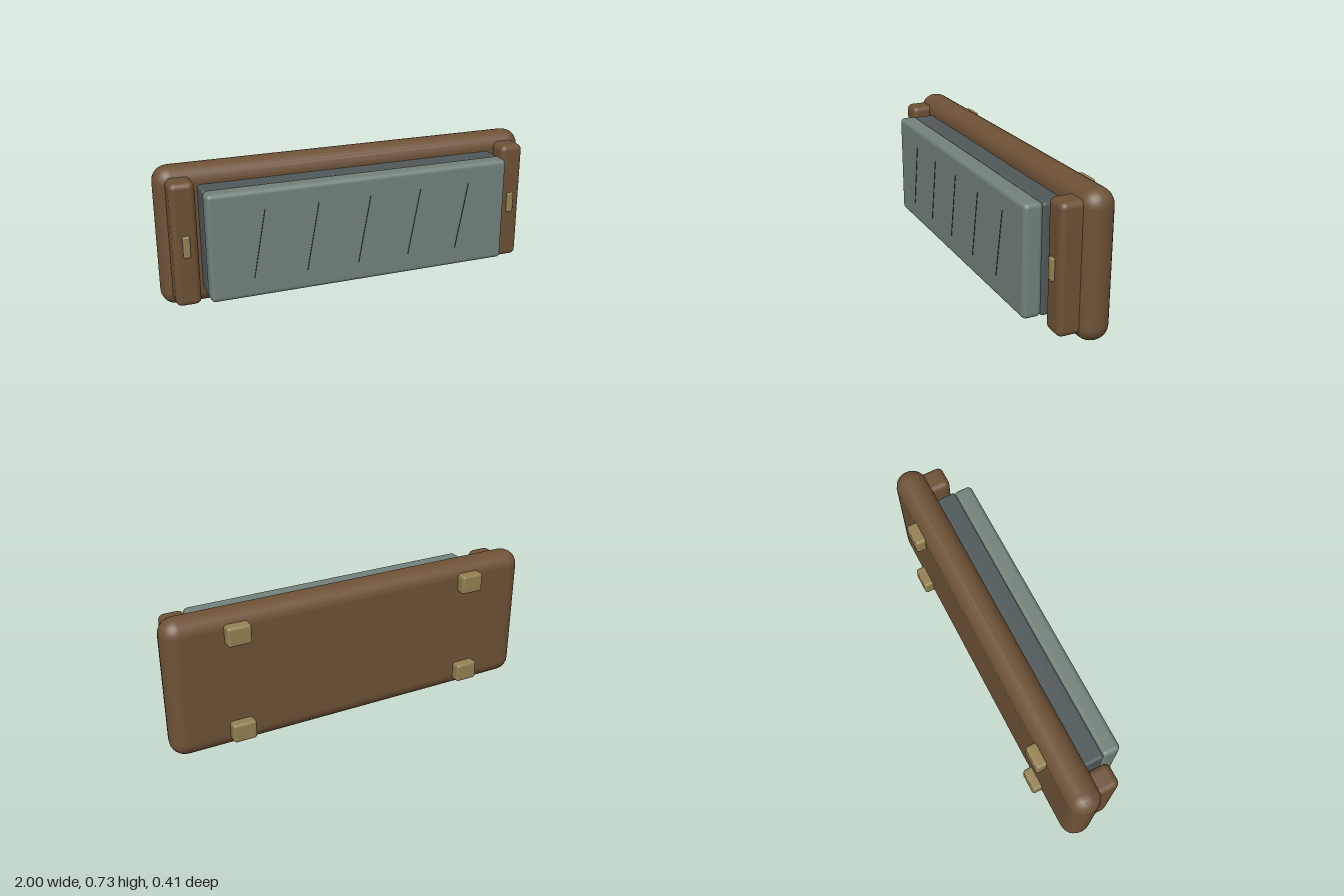
import * as THREE from 'three';
import { RoundedBoxGeometry } from 'three/addons/geometries/RoundedBoxGeometry.js';

const material = (name, color) => {
  const m = new THREE.MeshStandardMaterial({ color });
  m.name = name;
  return m;
};

export function createModel() {
  const group = new THREE.Group();
  const brown = material('brown leather', 0x6d5136);
  const sage = material('sage panel', 0x72817a);
  const slate = material('slate core', 0x50585a);
  const brass = material('brass', 0x937f52);
  const dark = material('dark groove', 0x2c3230);

  // Rounded block given by its minimum and maximum corners
  const block = (name, mat, min, max, radius, segments = 3) => {
    const size = max.map((v, i) => v - min[i]);
    const mesh = new THREE.Mesh(new RoundedBoxGeometry(...size, segments, radius), mat);
    mesh.position.set(...max.map((v, i) => (v + min[i]) / 2));
    mesh.name = name;
    group.add(mesh);
    return mesh;
  };

  // Backing board, inner core and front panel
  block('backBoard', brown, [-1, 0, -0.155], [1, 0.728, 0.01], 0.08);
  block('panelCore', slate, [-0.797, 0.09, -0.01], [0.797, 0.638, 0.112], 0.015);
  block('frontPanel', sage, [-0.797, 0.088, 0.107], [0.797, 0.642, 0.203], 0.024);

  for (const side of [-1, 1]) {
    const span = (name, mat, cx, w, y0, y1, z0, z1, r) =>
      block(name, mat, [side * cx - w / 2, y0, z0], [side * cx + w / 2, y1, z1], r);

    // End posts with small catches
    span('endPost', brown, 0.887, 0.126, 0.047, 0.683, -0.03, 0.107, 0.03);
    span('catch', brass, 0.885, 0.036, 0.31, 0.42, 0.09, 0.123, 0.008);

    // Mounting pads on the back
    for (const y of [0.053, 0.576]) {
      span('mountingPad', brass, 0.65, 0.122, y, y + 0.101, -0.204, -0.14, 0.015);
    }
  }

  // Slanted grooves across the panel
  for (let i = -2; i <= 2; i++) {
    const groove = new THREE.Mesh(new THREE.BoxGeometry(0.005, 0.358, 0.004), dark);
    groove.position.set(i * 0.273 - 0.002, 0.366, 0.203);
    groove.rotation.z = -0.18;
    groove.name = 'groove';
    group.add(groove);
  }

  return group;
}
